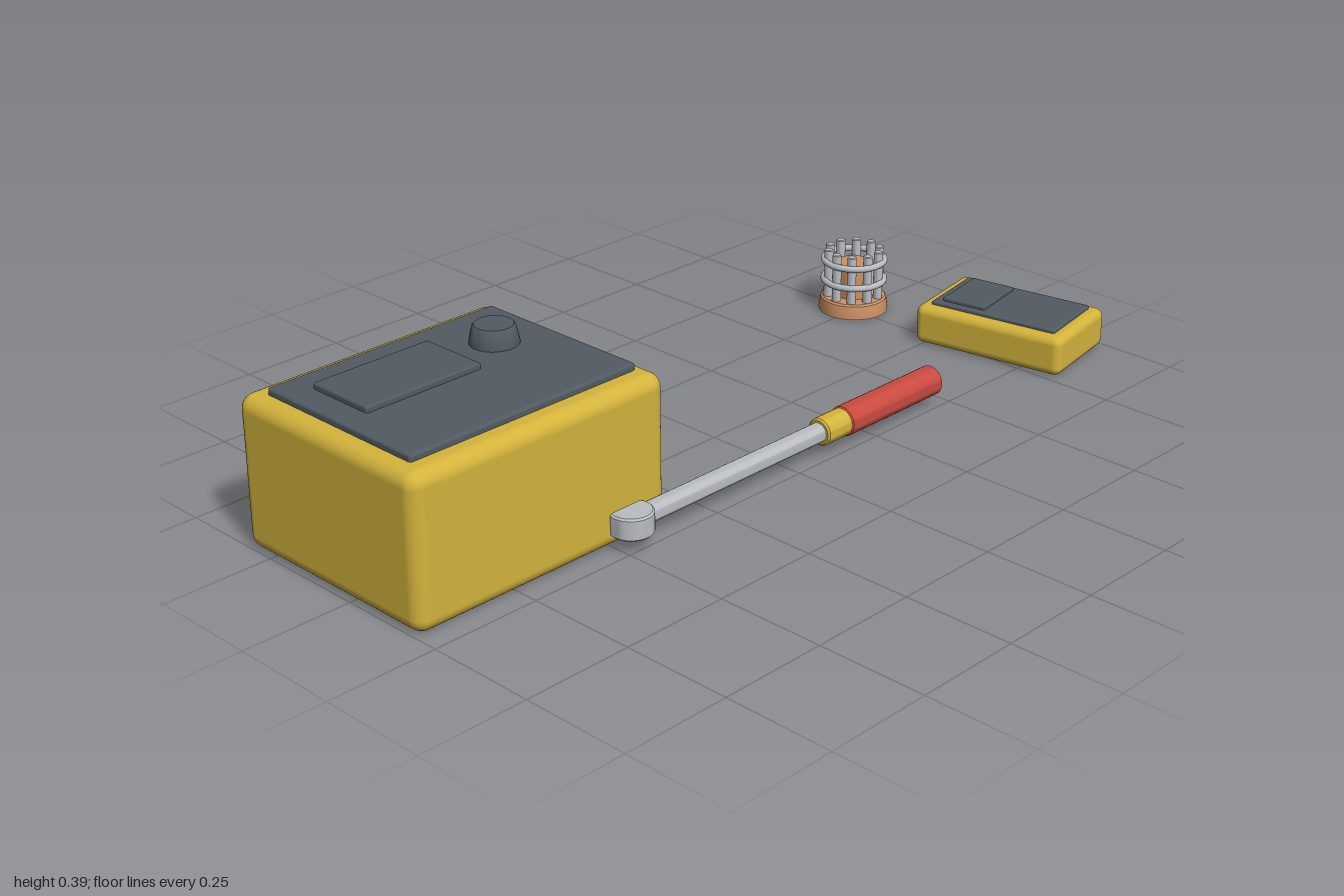
import * as THREE from 'three';
import { RoundedBoxGeometry } from 'three/addons/geometries/RoundedBoxGeometry.js';
import { toCreasedNormals } from 'three/addons/utils/BufferGeometryUtils.js';

const mat = (name, color) => new THREE.MeshStandardMaterial({ name, color });

export function createModel() {
  const yellow = mat('yellow casing', 0xd4b43c);
  const dark = mat('dark panel', 0x525a63);
  const steel = mat('steel', 0xb9bdc2);
  const red = mat('red grip', 0xc94a40);
  const copper = mat('copper', 0xcd9265);

  const model = new THREE.Group();
  model.name = 'toolSet';

  const group = (name, x, z) => {
    const g = new THREE.Group();
    g.name = name;
    g.position.set(x, 0, z);
    model.add(g);
    return g;
  };
  const add = (parent, name, geo, material, x = 0, y = 0, z = 0) => {
    const m = new THREE.Mesh(geo, material);
    m.name = name;
    m.position.set(x, y, z);
    parent.add(m);
    return m;
  };
  // Rounded box resting between two heights
  const box = (parent, name, w, l, y0, y1, r, material, x = 0, z = 0) =>
    add(parent, name, new RoundedBoxGeometry(w, y1 - y0, l, 4, r), material, x, (y0 + y1) / 2, z);
  // Turned solid from a list of [radius, height] points
  const turned = (points, segments = 32) =>
    toCreasedNormals(new THREE.LatheGeometry(points.map(([r, y]) => new THREE.Vector2(r, y)), segments), 0.6);
  // Closed cylinder with a small edge bevel, from y0 to y1
  const rod = (r, y0, y1, b = 0.004, segments = 32) =>
    turned([[0, y0], [r - b, y0], [r, y0 + b], [r, y1 - b], [r - b, y1], [0, y1]], segments);

  // Large instrument case with panel, display and knob
  const unit = group('instrumentCase', -0.675, -0.059);
  box(unit, 'caseBody', 0.65, 0.533, 0, 0.335, 0.032, yellow);
  box(unit, 'casePanel', 0.575, 0.43, 0.325, 0.35, 0.007, dark, 0.003, 0);
  box(unit, 'caseDisplay', 0.287, 0.164, 0.34, 0.363, 0.005, dark, -0.083, -0.064);
  add(unit, 'knob', turned([[0, 0.345], [0.052, 0.345], [0.052, 0.356], [0.045, 0.386],
    [0.041, 0.391], [0, 0.391]]), dark, 0.165, 0, -0.063);

  // Hand-held meter, turned slightly on the ground
  const meter = group('handMeter', 0.851, 0.146);
  meter.rotation.y = THREE.MathUtils.degToRad(10);
  box(meter, 'meterBody', 0.236, 0.379, 0, 0.095, 0.02, yellow);
  box(meter, 'meterPanel', 0.183, 0.32, 0.085, 0.103, 0.004, dark);
  box(meter, 'meterDisplay', 0.15, 0.108, 0.097, 0.111, 0.003, dark, 0, -0.084);

  // Wrench lying along x
  const wrench = group('wrench', 0, 0.222);
  add(wrench, 'wrenchHead', rod(0.047, 0.03, 0.08), steel, -0.467);
  const along = (name, r, x0, x1, material) => {
    const m = add(wrench, name, rod(r, x0, x1), material, 0, 0.055, 0);
    m.rotation.z = -Math.PI / 2;
  };
  along('wrenchShaft', 0.022, -0.45, 0.12, steel);
  along('wrenchCollar', 0.031, 0.09, 0.17, yellow);
  along('wrenchGrip', 0.034, 0.163, 0.469, red);

  // Copper base and core inside a cage of pins and rings
  const cage = group('pinCage', 0.766, -0.265);
  add(cage, 'cageBase', turned([[0, 0], [0.084, 0], [0.084, 0.006], [0.08, 0.032], [0.076, 0.036], [0, 0.036]]), copper);
  add(cage, 'cageCore', rod(0.043, 0.03, 0.12), copper);
  const pinGeo = rod(0.011, 0.03, 0.155, 0.002, 16);
  for (let i = 0; i < 10; i++) {
    const a = (i / 10) * Math.PI * 2;
    add(cage, 'cagePin', pinGeo, steel, 0.063 * Math.cos(a), 0, 0.063 * Math.sin(a));
  }
  const ringGeo = new THREE.TorusGeometry(0.073, 0.008, 12, 48).rotateX(Math.PI / 2);
  for (const y of [0.077, 0.127]) add(cage, 'cageRing', ringGeo, steel, 0, y, 0);

  return model;
}
